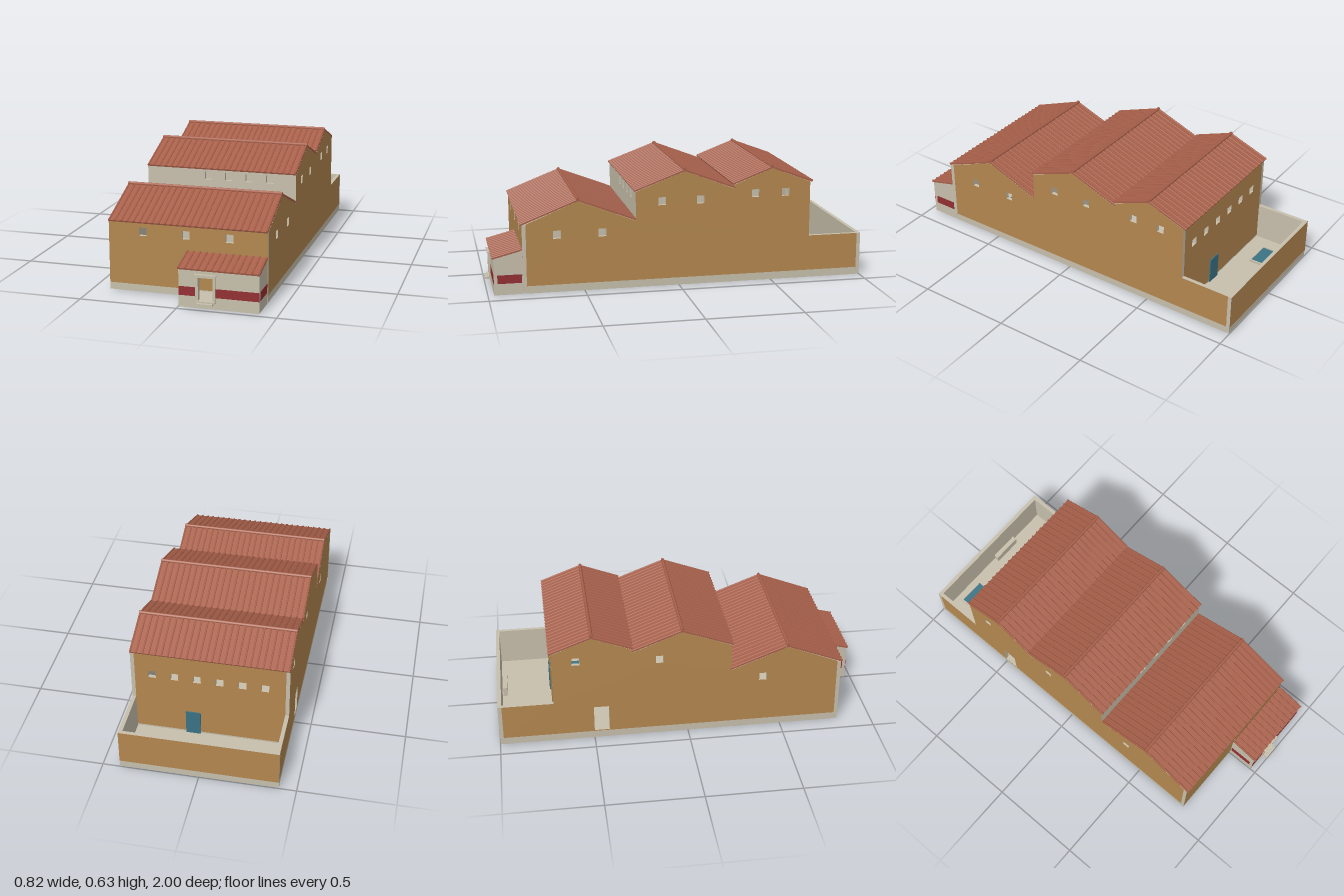
import * as THREE from 'three';
import { mergeGeometries } from 'three/addons/utils/BufferGeometryUtils.js';

const mat = (name, color, side = THREE.FrontSide) => {
  const m = new THREE.MeshStandardMaterial({ color, side });
  m.name = name;
  return m;
};

export function createModel() {
  const root = new THREE.Group();
  root.name = 'courtyardHouse';
  const ochre = mat('ochre plaster', 0xb3874f);
  const cream = mat('cream plaster', 0xc7bfac);
  const tile = mat('terracotta tile', 0xa8604a);
  const red = mat('red band', 0x932f33);
  const teal = mat('teal', 0x3a7384);

  const add = (name, geo, material) => {
    const m = new THREE.Mesh(geo, material);
    m.name = name;
    root.add(m);
    return m;
  };
  const box = (name, x0, x1, y0, y1, z0, z1, material) => {
    const g = new THREE.BoxGeometry(x1 - x0, y1 - y0, z1 - z0);
    g.translate((x0 + x1) / 2, (y0 + y1) / 2, (z0 + z1) / 2);
    return add(name, g, material);
  };

  // Holes are [u0, u1, v0, v1] rectangles
  const rect = (u0, u1, v0, v1) => [[u0, v0], [u1, v0], [u1, v1], [u0, v1]];
  const extrude = (pts, holes, depth) => {
    const v = (p) => p.map(([a, b]) => new THREE.Vector2(a, b));
    const s = new THREE.Shape(v(pts));
    for (const h of holes) s.holes.push(new THREE.Path(v(rect(...h))));
    return new THREE.ExtrudeGeometry(s, { depth, bevelEnabled: false });
  };
  // Wall across the house, outline in (x, y)
  const cross = (name, pts, holes, z0, z1, material) =>
    add(name, extrude(pts, holes, z1 - z0).translate(0, 0, z0), material);
  // Wall along the house, outline in (z, y)
  const along = (name, pts, holes, x0, x1, material) =>
    add(name, extrude(pts, holes, x1 - x0).rotateY(-Math.PI / 2).translate(x1, 0, 0), material);
  // Level slab, outline in (x, z)
  const slab = (name, pts, holes, y0, y1, material) =>
    add(name, extrude(pts, holes, y1 - y0).rotateX(Math.PI / 2).translate(0, y1, 0), material);
  const win = (u, v) => [u - 0.02, u + 0.02, v - 0.021, v + 0.021];

  const W = 0.41, T = 0.02, SKIN = 0.002, BASE = 0.04;
  const paint = [ochre, cream];

  // Side walls following the three gables, with a painted skin above the plinth
  const gables = (y0) => [
    [-0.98, y0], [0.8, y0], [0.8, 0.366], [0.53, 0.475], [0.23, 0.358], [0.23, 0.51],
    [-0.03, 0.608], [-0.295, 0.505], [-0.295, 0.525], [-0.5, 0.605], [-0.71, 0.525],
    [-0.71, 0.23], [-0.98, 0.23],
  ];
  const rightHoles = [[0.64, 0.305], [0.405, 0.305], [0.09, 0.455], [-0.115, 0.455],
    [-0.41, 0.475], [-0.575, 0.475]].map((p) => win(...p));
  const leftHoles = [[0.4, 0.305], [-0.15, 0.455], [-0.585, 0.475]].map((p) => win(...p));
  leftHoles.push([-0.5, -0.42, 0.045, 0.19]);
  along('rightWall', gables(0), rightHoles, W - T, W - SKIN, cream);
  along('rightWallPaint', gables(BASE), rightHoles, W - SKIN, W, paint);
  along('leftWall', gables(0), leftHoles, -W + SKIN, -W + T, cream);
  along('leftWallPaint', gables(BASE), leftHoles, -W, -W + SKIN, paint);

  // Front wall
  const frontHoles = [-0.231, -0.007, 0.216].map((x) => win(x, 0.316));
  cross('frontWall', rect(-W, W, 0.003, 0.362), frontHoles, 0.8, 0.82 - SKIN, cream);
  cross('frontWallPaint', rect(-W, W, BASE, 0.362), frontHoles, 0.82 - SKIN, 0.82, paint);

  // Cream clerestory wall above the front roof
  const inner = W - T;
  const clerestoryHoles = [-0.07, 0.042, 0.155, 0.268].map((x) => win(x, 0.476));
  cross('clerestoryWall', rect(-inner, inner, 0.03, 0.512), clerestoryHoles, 0.21, 0.23, cream);

  // Rear wall with six windows and a door to the yard
  const rearHoles = [];
  for (let i = 0; i < 6; i++) rearHoles.push(win(0.3 - i * 0.117, 0.39));
  cross('rearWall', rect(-inner, inner, 0.003, 0.526), rearHoles, -0.71 + SKIN, -0.69, cream);
  cross('rearWallPaint', rect(-inner, inner, BASE, 0.526), rearHoles, -0.71, -0.71 + SKIN, paint);
  box('rearDoor', 0.05, 0.128, 0.03, 0.17, -0.716, -0.709, teal);

  // Yard wall, bench and pool
  cross('yardWall', rect(-W, W, 0.003, 0.23), [], -1 + SKIN, -0.98, cream);
  cross('yardWallPaint', rect(-W, W, BASE, 0.23), [], -1, -1 + SKIN, paint);
  box('yardBench', 0.015, 0.175, 0.03, 0.08, -0.975, -0.95, cream);
  slab('yardPoolRim', rect(-0.31, -0.155, -0.945, -0.795), [[-0.302, -0.163, -0.937, -0.803]],
    0.03, 0.042, cream);
  box('yardPool', -0.302, -0.163, 0.03, 0.036, -0.937, -0.803, teal);

  // Floor with two indoor pools set into it
  const pools = [[0.21, -0.54], [0.21, 0.55]];
  slab('floor', rect(-inner, inner, -0.98, 0.8),
    pools.map(([x, z]) => [x - 0.12, x + 0.12, z - 0.115, z + 0.115]), 0.003, 0.03, cream);
  for (const [x, z] of pools)
    box('indoorPool', x - 0.12, x + 0.12, 0.027, 0.034, z - 0.115, z + 0.115, teal);

  // Tiled slope from eave to ridge, with round ribs running down it
  const slope = (name, x0, x1, [ze, ye], [zr, yr]) => {
    const len = Math.hypot(zr - ze, yr - ye), t = 0.008;
    const parts = [new THREE.BoxGeometry(x1 - x0, t, len).translate((x0 + x1) / 2, t / 2, 0)];
    const n = Math.round((x1 - x0) / 0.033);
    const step = (x1 - x0 - 0.01) / n;
    for (let i = 0; i <= n; i++) {
      parts.push(new THREE.CylinderGeometry(0.005, 0.005, len + 0.004, 6)
        .rotateX(Math.PI / 2).translate(x0 + 0.005 + i * step, t, 0));
    }
    const g = mergeGeometries(parts);
    // Tilt along z while keeping the top side up
    const a = ze > zr ? Math.atan2(yr - ye, ze - zr) : -Math.atan2(yr - ye, zr - ze);
    g.rotateX(a).translate(0, (ye + yr) / 2, (ze + zr) / 2);
    add(name, g, tile);
  };
  const roofs = [
    ['front', [0.825, 0.36], [0.53, 0.475], [0.225, 0.358]],
    ['middle', [0.235, 0.51], [-0.03, 0.608], [-0.3, 0.505]],
    ['rear', [-0.29, 0.525], [-0.5, 0.605], [-0.72, 0.523]],
  ];
  for (const [name, eaveA, ridge, eaveB] of roofs) {
    slope(name + 'RoofFrontSlope', -W, W, eaveA, ridge);
    slope(name + 'RoofBackSlope', -W, W, eaveB, ridge);
    add(name + 'RoofRidge', new THREE.CylinderGeometry(0.009, 0.009, 2 * W, 8)
      .rotateZ(Math.PI / 2).translate(0, ridge[1] + 0.01, ridge[0]), tile);
  }

  // Porch walls, floor and roof
  const P0 = 0.002, P1 = 0.407;
  const porchSide = [[0.82, 0], [0.95, 0], [0.95, 0.196], [0.82, 0.23]];
  along('porchLeftWall', porchSide, [], P1 - 0.015, P1, cream);
  along('porchRightWall', porchSide, [], P0, P0 + 0.015, cream);
  cross('porchFrontWall', rect(P0, P1, 0, 0.193), [[0.103, 0.177, 0.04, 0.157]], 0.95, 0.968, cream);
  box('porchFloor', P0 + 0.015, P1 - 0.015, 0, 0.035, 0.82, 0.95, cream);
  slope('porchRoof', -0.002, 0.41, [0.974, 0.191], [0.822, 0.23]);

  // Red band round the porch
  box('porchBand', P0, 0.09, 0.06, 0.105, 0.968, 0.97, red);
  box('porchBand', 0.19, P1, 0.06, 0.105, 0.968, 0.97, red);
  for (const x of [P0 - 0.002, P1])
    box('porchSideBand', x, x + 0.002, 0.06, 0.105, 0.825, 0.95, red);

  // Door surround, lintel and steps
  for (const x of [0.09, 0.177])
    box('doorJamb', x, x + 0.013, 0.04, 0.168, 0.968, 0.977, cream);
  box('doorHead', 0.103, 0.177, 0.157, 0.168, 0.968, 0.977, cream);
  box('doorLintel', 0.085, 0.195, 0.168, 0.174, 0.968, 0.985, cream);
  box('doorSill', 0.09, 0.19, 0.033, 0.04, 0.968, 0.985, cream);
  box('doorStep', 0.1, 0.18, 0.024, 0.033, 0.968, 1, cream);

  return root;
}
